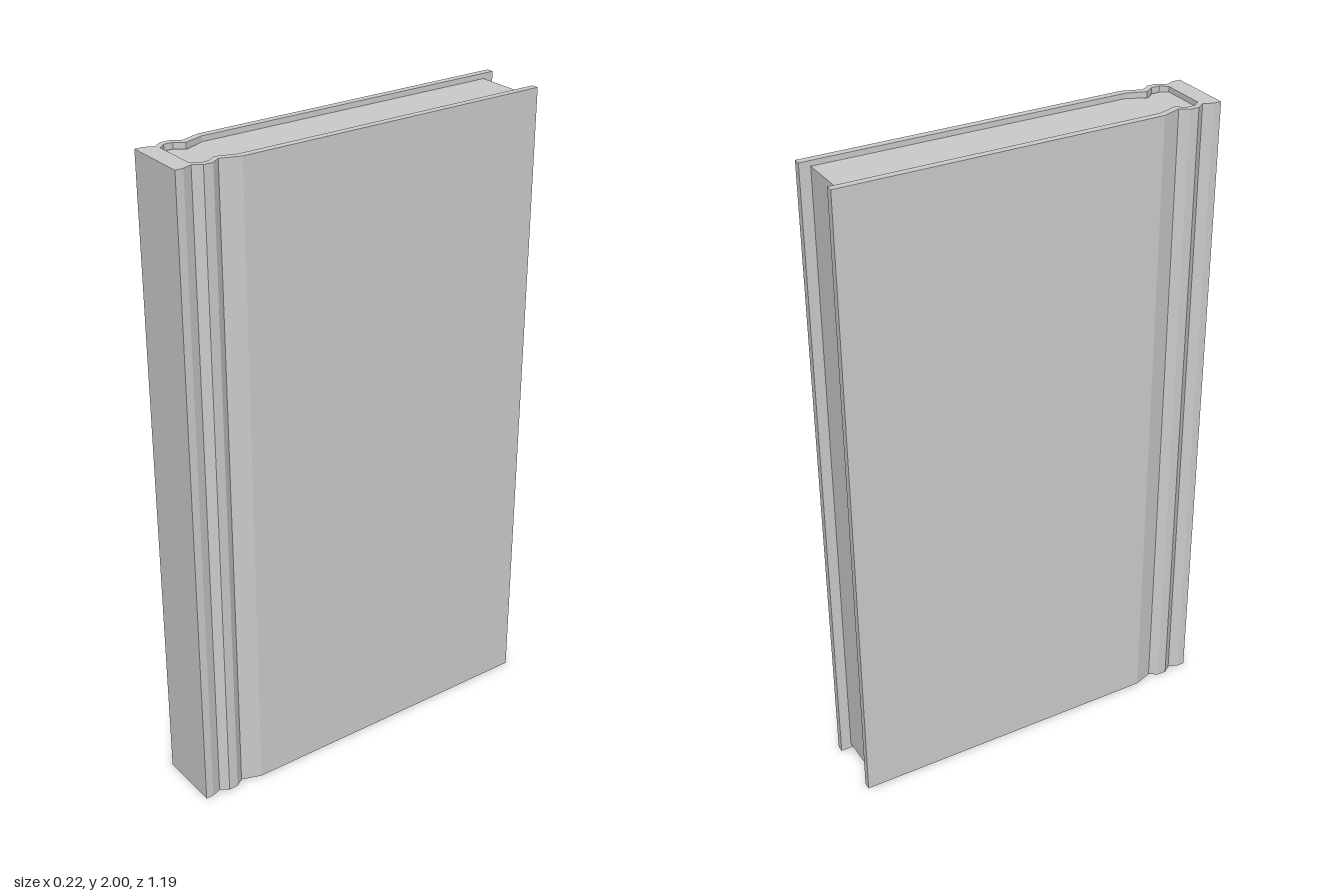
import * as THREE from 'three';

const material = new THREE.MeshStandardMaterial({ color: 0xcccccc });

// Extrude a plan outline of [x, z] points upwards from y0 to y1
function extrudePlan(name, points, y0, y1) {
  const shape = new THREE.Shape(points.map(([x, z]) => new THREE.Vector2(x, -z)));
  const geometry = new THREE.ExtrudeGeometry(shape, { depth: y1 - y0, bevelEnabled: false });
  geometry.rotateX(-Math.PI / 2).translate(0, y0, 0);
  const mesh = new THREE.Mesh(geometry, material);
  mesh.name = name;
  return mesh;
}

// Mirror a half profile on +x to the -x side, in reverse order
const mirrored = (half) => half.map(([x, z]) => [-x, z]).reverse();

export function createModel() {
  const book = new THREE.Group();
  book.name = 'book';

  // Half profiles on +x, from the open back edge to the spine
  const outer = [
    [0.109, -0.596], [0.109, 0.40], [0.088, 0.46], [0.106, 0.486],
    [0.106, 0.515], [0.088, 0.54], [0.1, 0.57], [0.1, 0.594],
  ];
  const inner = [
    [0.087, -0.596], [0.087, 0.40], [0.067, 0.46], [0.087, 0.488],
    [0.087, 0.515], [0.07, 0.536],
  ];
  const pages = [
    [0.087, -0.563], [0.087, 0.40], [0.061, 0.46], [0.082, 0.488],
    [0.082, 0.515], [0.068, 0.536],
  ];

  // Cover: both boards, hinge grooves and spine as one channel
  const coverOutline = [
    ...outer, ...mirrored(outer),
    ...inner.map(([x, z]) => [-x, z]), ...inner.slice().reverse(),
  ];
  book.add(extrudePlan('cover', coverOutline, 0, 2));

  // Page block, set in slightly from the top, bottom and back edges
  book.add(extrudePlan('pages', [...pages, ...mirrored(pages)], 0.016, 1.984));

  return book;
}
